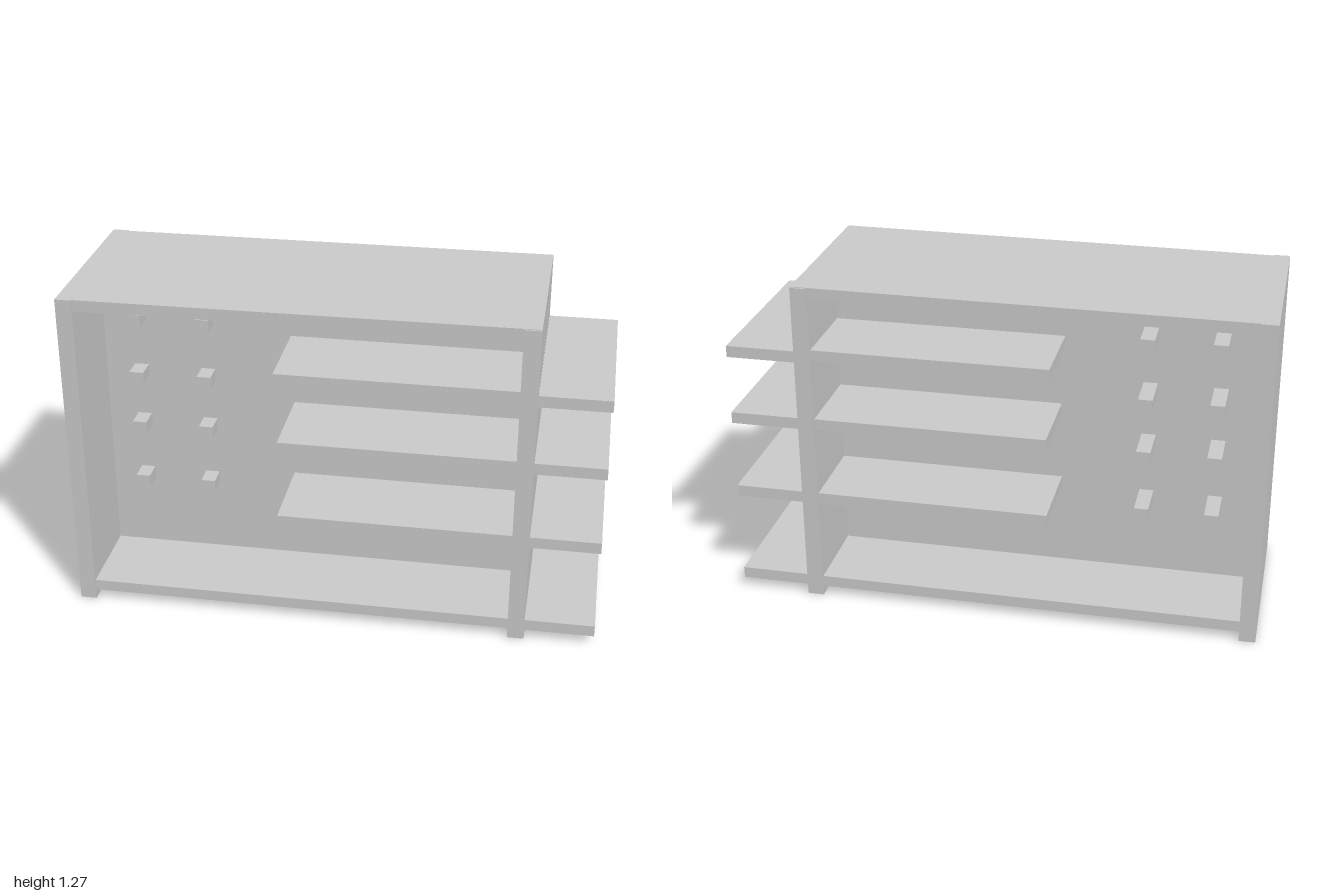
import * as THREE from 'three';

const material = new THREE.MeshStandardMaterial({ color: 0xcccccc, flatShading: true });

// Box given by its lower and upper limits on each axis
function board(parent, name, [x0, x1], [y0, y1], [z0, z1]) {
  const mesh = new THREE.Mesh(new THREE.BoxGeometry(x1 - x0, y1 - y0, z1 - z0), material);
  mesh.position.set((x0 + x1) / 2, (y0 + y1) / 2, (z0 + z1) / 2);
  mesh.name = name;
  parent.add(mesh);
  return mesh;
}

export function createModel() {
  const model = new THREE.Group();
  model.name = 'shelfUnit';
  const depth = [-0.357, 0.357];
  const sideDepth = [-0.363, 0.363];

  // Upright ends
  board(model, 'rightEndPanel', [-1, -0.938], [0, 1.266], sideDepth);
  board(model, 'leftEndPanel', [0.675, 0.738], [0, 1.27], sideDepth);

  // Top, very slightly tilted, and bottom
  const top = board(model, 'topBoard', [-0.96, 0.738], [1.225, 1.269], depth);
  top.rotation.z = 0.004;
  board(model, 'bottomBoard', [-0.94, 0.68], [0.037, 0.08], depth);

  // Panel dividing the front from the back, down to the floor
  board(model, 'middlePanel', [-0.94, 0.68], [0, 1.235], [-0.03, 0.02]);

  // Inner shelves, running through the middle panel
  const shelves = new THREE.Group();
  shelves.name = 'shelves';
  model.add(shelves);
  for (const [x, y] of [[-0.205, 0.4], [-0.2, 0.71], [-0.21, 0.987]]) {
    board(shelves, 'innerShelf', [x, 0.739], [y, y + 0.044], depth);
  }

  // Outer shelves beyond the left end
  for (const y of [0.037, 0.4, 0.708, 0.977]) {
    board(shelves, 'outerShelf', [0.735, 1], [y, y + 0.044], depth);
  }

  // Pegs through the middle panel, longer at the back
  const pegs = new THREE.Group();
  pegs.name = 'pegs';
  model.add(pegs);
  for (const x of [-0.825, -0.562]) {
    for (const y of [0.373, 0.61, 0.822, 1.058]) {
      board(pegs, 'peg', [x, x + 0.054], [y, y + 0.048], [-0.19, 0.1]);
    }
  }
  return model;
}
